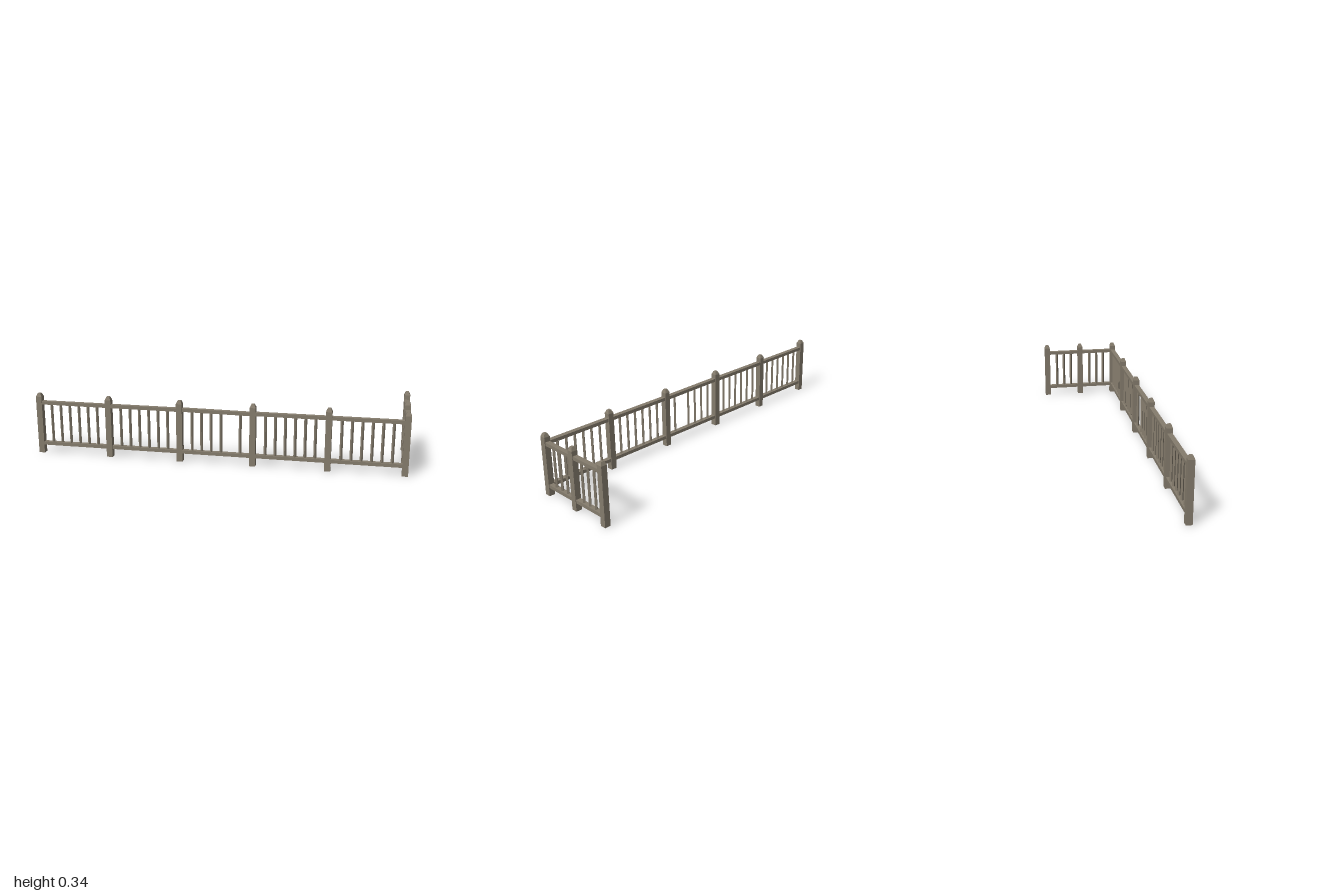
import * as THREE from 'three';

const POST_W = 0.032, SHAFT_H = 0.318, TOP_H = 0.336;
const RAIL_H = 0.018, RAIL_D = 0.026, LOW_Y = 0.054, HIGH_Y = 0.284;

export function createModel() {
  const model = new THREE.Group();
  model.name = 'fence';
  const wood = new THREE.MeshStandardMaterial({ color: 0x857c6d });
  wood.name = 'weathered wood';

  function add(parent, geometry, name, x, y, z) {
    const mesh = new THREE.Mesh(geometry, wood);
    mesh.name = name;
    mesh.position.set(x, y, z);
    parent.add(mesh);
    return mesh;
  }

  // Square post shaft and its tapered cap
  const shaft = new THREE.BoxGeometry(POST_W, SHAFT_H, POST_W);
  const capH = TOP_H - SHAFT_H;
  const cap = new THREE.CylinderGeometry(0.008 * Math.SQRT2, POST_W / Math.SQRT2, capH, 4, 1)
    .rotateY(Math.PI / 4).toNonIndexed();
  cap.computeVertexNormals();

  function addPost(x, z) {
    const post = new THREE.Group();
    post.name = 'post';
    post.position.set(x, 0, z);
    add(post, shaft, 'postShaft', 0, SHAFT_H / 2, 0);
    add(post, cap, 'postCap', 0, SHAFT_H + capH / 2, 0);
    model.add(post);
  }

  // Balusters are square bars turned cornerwise
  const barBottom = LOW_Y, barTop = HIGH_Y;
  const bar = new THREE.BoxGeometry(0.0113, barTop - barBottom, 0.0113).rotateY(Math.PI / 4);

  // A panel runs along its own x axis between two posts
  function addPanel(x, z, length, count, spacing, turn = 0, missing = -1) {
    const panel = new THREE.Group();
    panel.name = 'panel';
    panel.position.set(x, 0, z);
    panel.rotation.y = turn;
    const rail = new THREE.BoxGeometry(length - POST_W + 0.004, RAIL_H, RAIL_D);
    add(panel, rail, 'bottomRail', 0, LOW_Y, 0);
    const topRail = add(panel, rail, 'topRail', 0, HIGH_Y, 0);
    if (missing >= 0) topRail.rotation.z = -0.008; // sagging rail
    for (let i = 0; i < count; i++) {
      if (i === missing) continue;
      add(panel, bar, 'baluster', (i - (count - 1) / 2) * spacing, (barBottom + barTop) / 2, 0);
    }
    model.add(panel);
  }

  // Long front run: six posts, five panels, one baluster lost in the middle
  const endX = 0.984, frontZ = 0.217, step = endX * 2 / 5;
  for (let i = 0; i < 6; i++) addPost(-endX + i * step, frontZ);
  for (let i = 0; i < 5; i++) {
    addPanel(-endX + (i + 0.5) * step, frontZ, step, 6, 0.052, 0, i === 2 ? 4 : -1);
  }

  // Short return along the left end
  for (const z of [0, -frontZ]) addPost(endX, z);
  for (const z of [frontZ / 2, -frontZ / 2]) {
    addPanel(endX, z, frontZ, 3, 0.046, Math.PI / 2);
  }
  return model;
}
